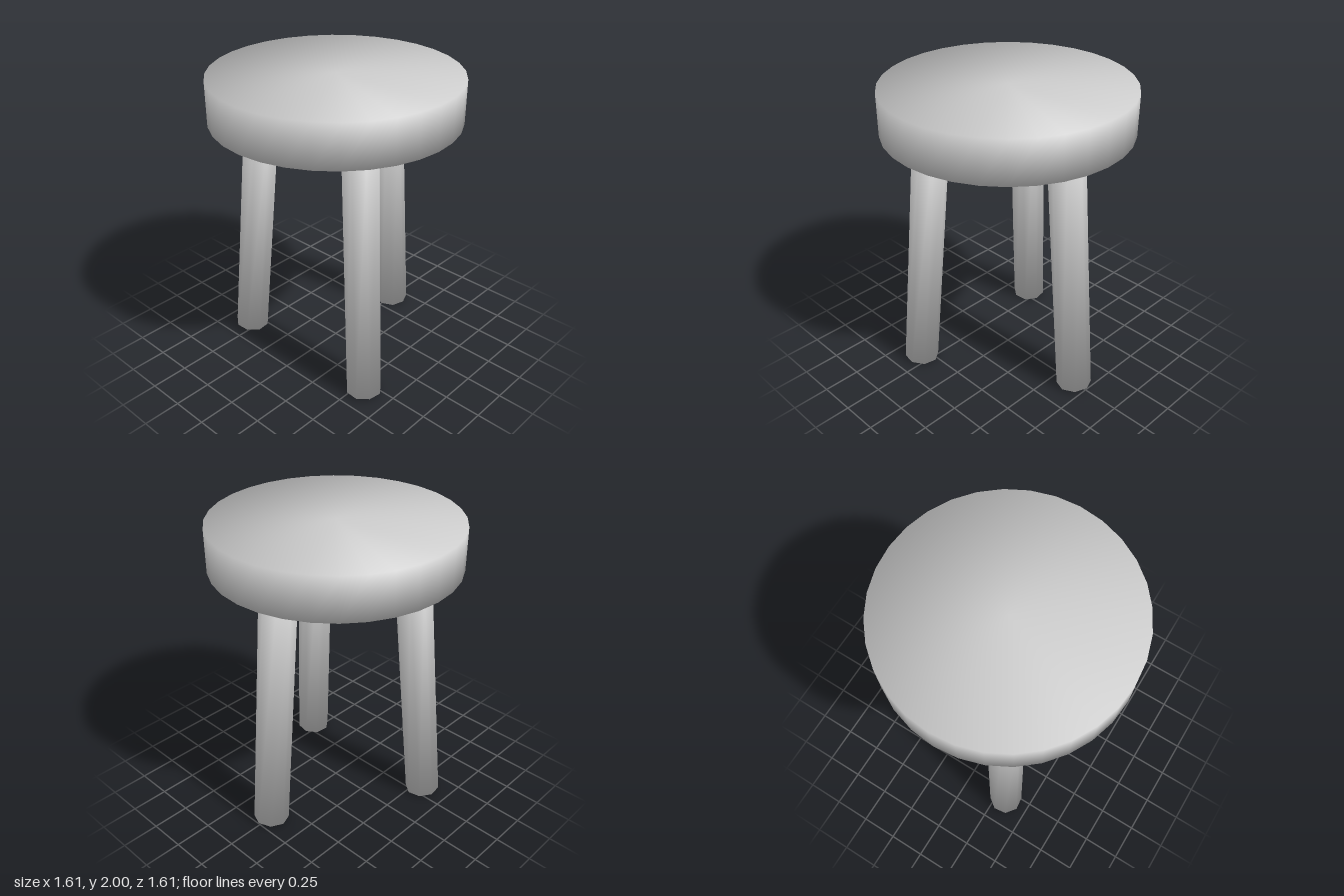
import * as THREE from 'three';

const SEAT_RADIUS = 0.805, SEAT_BOTTOM = 1.715, SEAT_TOP = 2;
const LEG_RADIUS = 0.118, LEG_LENGTH = 1.78, LEG_TILT = THREE.MathUtils.degToRad(5.1);

// Cylinder standing on y = 0 whose shading rolls smoothly over the rims
function softCylinder(radius, height, sides) {
  const geometry = new THREE.CylinderGeometry(radius, radius, height, sides);
  const { position, normal } = geometry.attributes;
  const n = new THREE.Vector3();
  for (let i = 0; i < position.count; i++) {
    n.set(position.getX(i) / radius, Math.sign(position.getY(i)), position.getZ(i) / radius).normalize();
    normal.setXYZ(i, n.x, n.y, n.z);
  }
  return geometry.translate(0, height / 2, 0);
}

export function createModel() {
  const stool = new THREE.Group();
  stool.name = 'stool';
  const grey = new THREE.MeshStandardMaterial({ color: 0xcccccc });
  grey.name = 'light grey';

  // Round seat
  const seat = new THREE.Mesh(softCylinder(SEAT_RADIUS, SEAT_TOP - SEAT_BOTTOM, 32), grey);
  seat.name = 'seat';
  seat.position.y = SEAT_BOTTOM;
  stool.add(seat);

  // Three splayed legs, spaced evenly, with tops sunk into the seat
  const legGeometry = softCylinder(LEG_RADIUS, LEG_LENGTH, 8);
  ['leftLeg', 'backRightLeg', 'frontRightLeg'].forEach((name, i) => {
    const leg = new THREE.Mesh(legGeometry, grey);
    leg.position.set(0.642, LEG_RADIUS * Math.sin(LEG_TILT), 0);
    leg.rotation.z = LEG_TILT;
    const pivot = new THREE.Group();
    pivot.name = name;
    pivot.rotation.y = (i * Math.PI * 2) / 3;
    pivot.add(leg);
    stool.add(pivot);
  });

  return stool;
}
